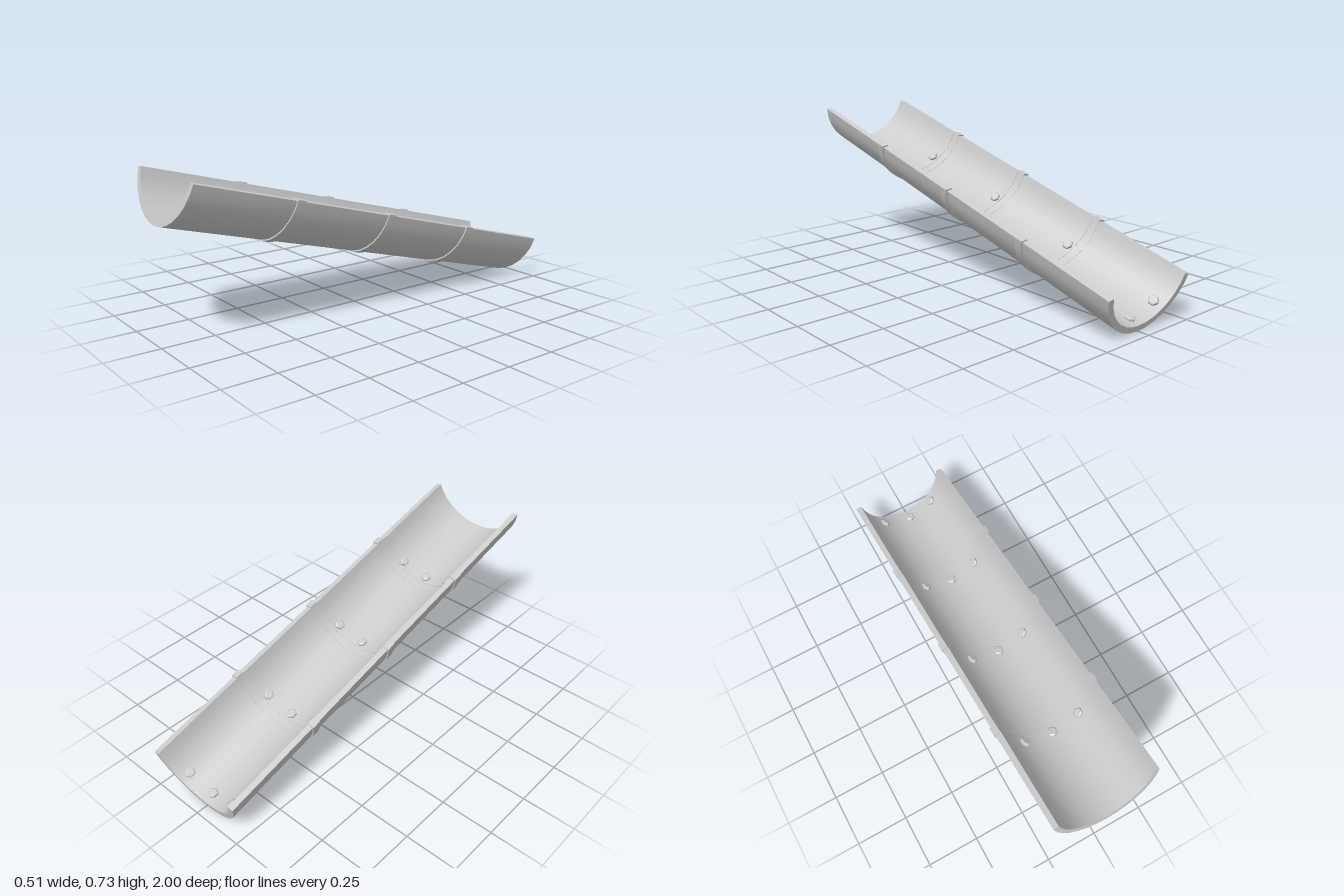
import * as THREE from 'three';
import { toCreasedNormals } from 'three/addons/utils/BufferGeometryUtils.js';

const TILT = THREE.MathUtils.degToRad(15);
const LENGTH = 2.013, SECTIONS = 4, PITCH = LENGTH / SECTIONS;
const OUTER = 0.253, INNER = 0.228, SEGMENTS = 14;
const OVERLAP = 0.019, LIP = 0.003;

const material = new THREE.MeshStandardMaterial({ color: 0xcccccc });

// Open trough cross-section swept along +z; its bottom end can be a little thicker inside
function trough(inner, outer, halfDegrees, length, lip = 0) {
  const half = THREE.MathUtils.degToRad(halfDegrees);
  const points = [];
  const addArc = (r, from, to) => {
    for (let i = 0; i <= SEGMENTS; i++) {
      const a = from + (to - from) * i / SEGMENTS;
      points.push(new THREE.Vector2(r * Math.sin(a), -r * Math.cos(a)));
    }
  };
  addArc(outer, -half, half);
  addArc(inner, half, -half);
  const geometry = new THREE.ExtrudeGeometry(new THREE.Shape(points), { depth: length, bevelEnabled: false });
  const pos = geometry.attributes.position;
  for (let i = 0; i < pos.count; i++) {
    const x = pos.getX(i), y = pos.getY(i), r = Math.hypot(x, y);
    if (r < (inner + outer) / 2) {
      const k = 1 - lip * (1 - pos.getZ(i) / length) / r;
      pos.setXY(i, x * k, y * k);
    }
  }
  return toCreasedNormals(geometry, 0.5);
}

function add(parent, geometry, name, z) {
  const mesh = new THREE.Mesh(geometry, material);
  mesh.name = name;
  mesh.position.z = z;
  parent.add(mesh);
  return mesh;
}

// Hexagonal head with a chamfered top, standing on y = 0
function boltGeometry() {
  const profile = [[0, -0.004], [0.024, -0.004], [0.024, 0.011], [0.018, 0.015], [0, 0.015]];
  const lathe = new THREE.LatheGeometry(profile.map(([r, y]) => new THREE.Vector2(r, y)), 6);
  return toCreasedNormals(lathe, 0.1);
}

export function createModel() {
  const model = new THREE.Group();
  model.name = 'chute';
  const channel = new THREE.Group();
  channel.name = 'slopedChannel';
  channel.rotation.x = -TILT;
  channel.position.set(0, OUTER * Math.cos(TILT), 1 - LENGTH * Math.cos(TILT) - OUTER * Math.sin(TILT));
  model.add(channel);

  const collar = trough(0.2265, 0.2595, 81.5, 0.042);
  const bolt = boltGeometry();

  for (let i = 0; i < SECTIONS; i++) {
    // Trough section, each one starting at the upper edge of a collar
    const start = i === 0 ? 0 : i * PITCH + OVERLAP;
    const end = i === SECTIONS - 1 ? LENGTH : (i + 1) * PITCH + OVERLAP;
    add(channel, trough(INNER, OUTER, 80, end - start, LIP), 'troughSection', start);

    // Joint collar
    if (i > 0) add(channel, collar, 'jointCollar', i * PITCH - 0.021);

    // Row of three bolts near the lower end of the section
    for (const degrees of [-37.5, 0, 37.5]) {
      const a = THREE.MathUtils.degToRad(degrees);
      const head = add(channel, bolt, 'boltHead', i * PITCH + 0.051);
      const r = INNER - LIP;
      head.position.x = r * Math.sin(a);
      head.position.y = -r * Math.cos(a);
      head.rotation.z = a;
    }
  }
  return model;
}
